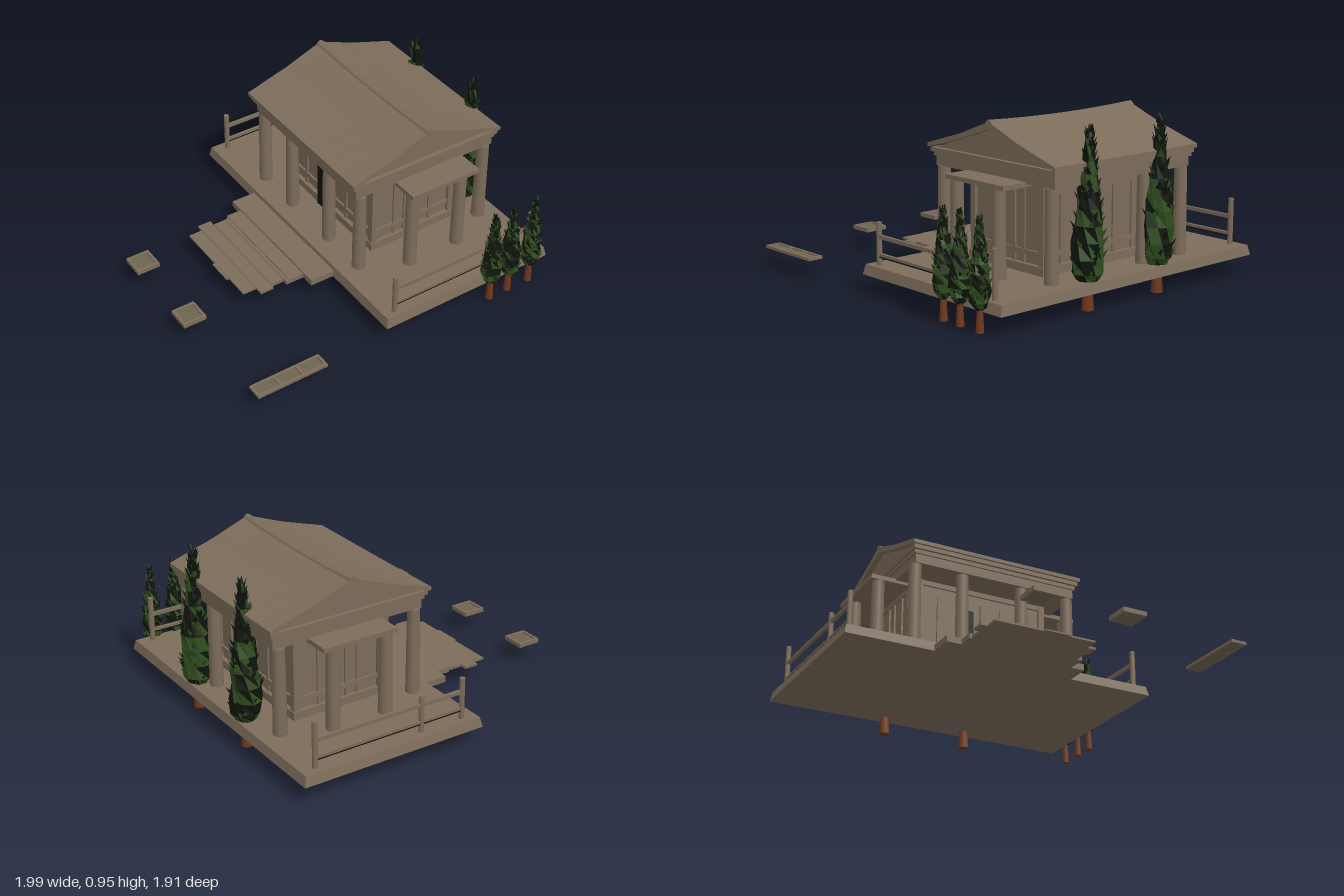
import * as THREE from 'three';

const mat = (name, color, extra = {}) => {
  const m = new THREE.MeshStandardMaterial({ color, ...extra });
  m.name = name;
  return m;
};

export function createModel() {
  const root = new THREE.Group();
  root.name = 'temple';
  const stone = mat('stone', 0x7c6c5a, { flatShading: true });
  const smoothStone = mat('column stone', 0x7c6c5a);
  const soil = mat('soil', 0x6e6450);
  const dark = mat('shadow black', 0x11110f);
  const leafDark = mat('dark leaves', 0x10150d, { side: THREE.DoubleSide, flatShading: true });
  const leafGreen = mat('green leaves', 0x2f4d1f, { side: THREE.DoubleSide, flatShading: true });
  const bark = mat('bark', 0x70381f);

  let seed = 7;
  const rand = () => (seed = (seed * 16807) % 2147483647) / 2147483647;

  const add = (name, geo, material, parent = root) => {
    const m = new THREE.Mesh(geo, material);
    m.name = name;
    parent.add(m);
    return m;
  };
  // box given by its extents; inset draws the top face inwards
  const box = (name, x0, x1, y0, y1, z0, z1, material = stone, inset = 0) => {
    const w = x1 - x0, h = y1 - y0, d = z1 - z0;
    const g = new THREE.BoxGeometry(w, h, d);
    const p = g.attributes.position;
    for (let i = 0; inset && i < p.count; i++) {
      if (p.getY(i) < 0) continue;
      p.setX(i, p.getX(i) * (1 - 2 * inset / w));
      p.setZ(i, p.getZ(i) * (1 - 2 * inset / d));
    }
    g.computeVertexNormals();
    const m = add(name, g, material);
    m.position.set((x0 + x1) / 2, (y0 + y1) / 2, (z0 + z1) / 2);
    return m;
  };

  // ground works: platform, landing and ragged paving
  box('platform', -0.12, 0.96, 0.1, 0.155, -0.955, 0.875, stone, 0.012);
  box('landing', -0.26, -0.115, 0.1, 0.136, -0.45, 0.37);
  [[-0.62, -0.605, 0.108, -0.07, 0.08], [-0.605, -0.525, 0.11, -0.35, 0.23],
    [-0.525, -0.445, 0.114, -0.39, 0.28], [-0.445, -0.37, 0.118, -0.35, 0.26],
    [-0.37, -0.35, 0.122, -0.35, 0.29], [-0.35, -0.255, 0.128, -0.365, 0.29]]
    .forEach(([x0, x1, y, z0, z1]) => box('paving', x0, x1, 0.1, y, z0, z1));

  // shallow planters: rim with square openings and a soil bed
  const planter = (x0, x1, z0, z1, n, top) => {
    const w = x1 - x0, d = z1 - z0, t = 0.015;
    const s = new THREE.Shape();
    s.moveTo(0, 0).lineTo(w, 0).lineTo(w, d).lineTo(0, d).closePath();
    const cell = (w - t * (n + 1)) / n;
    for (let i = 0; i < n; i++) {
      const a = t + i * (cell + t), hole = new THREE.Path();
      hole.moveTo(a, t).lineTo(a, d - t).lineTo(a + cell, d - t).lineTo(a + cell, t).closePath();
      s.holes.push(hole);
    }
    const g = new THREE.ExtrudeGeometry(s, { depth: top - 0.1, bevelEnabled: false });
    g.rotateX(Math.PI / 2);
    add('planterRim', g, stone).position.set(x0, top, z0);
    box('planterBed', x0 + 0.005, x1 - 0.005, 0.1, top - 0.008, z0 + 0.005, z1 - 0.005, soil);
  };
  planter(-1, -0.865, -0.355, -0.22, 1, 0.124);
  planter(-1, -0.865, 0.15, 0.285, 1, 0.124);
  planter(-0.945, -0.53, 0.84, 0.93, 3, 0.116);

  // columns
  const column = (x, z) => {
    const h = 0.485;
    const g = new THREE.CylinderGeometry(0.034, 0.038, h, 18);
    add('column', g, smoothStone).position.set(x, 0.155 + h / 2, z);
  };
  for (const x of [0.01, 0.83]) for (const z of [0.425, 0.135, -0.23, -0.515]) column(x, z);
  for (const x of [0.26, 0.58]) for (const z of [0.55, -0.62]) column(x, z);

  // inner hall: core, plinth, corner pilasters and panel strips
  const X0 = 0.16, X1 = 0.68, Z0 = -0.42, Z1 = 0.34;
  box('hallWall', X0, X1, 0.15, 0.65, Z0, Z1);
  box('hallPlinth', X0 - 0.025, X1 + 0.025, 0.15, 0.2, Z0 - 0.025, Z1 + 0.025);
  box('hallBand', X0 - 0.012, X1 + 0.012, 0.245, 0.272, Z0 - 0.012, Z1 + 0.012);
  box('hallFrieze', X0 - 0.012, X1 + 0.012, 0.61, 0.65, Z0 - 0.012, Z1 + 0.012);
  for (const x of [X0, X1]) {
    for (const z of [Z0, Z1]) box('pilaster', x - 0.018, x + 0.018, 0.15, 0.65, z - 0.018, z + 0.018);
    for (const z of [-0.3, -0.16, -0.035, 0.09, 0.22])
      box('panelStrip', x - 0.01, x + 0.01, 0.2, 0.56, z - 0.01, z + 0.01);
  }
  for (const z of [Z0, Z1]) for (const x of [0.3, 0.37, 0.47, 0.54])
    box('panelStrip', x - 0.01, x + 0.01, 0.2, 0.62, z - 0.01, z + 0.01);
  box('doorGap', X0 - 0.034, X0 - 0.026, 0.156, 0.5, -0.15, -0.1, dark);

  // porch slabs at both ends
  box('porchSlab', 0.225, 0.665, 0.622, 0.647, 0.4, 0.6);
  box('porchSlab', 0.225, 0.665, 0.622, 0.647, -0.675, -0.45);

  // stepped entablature
  box('architrave', -0.03, 0.87, 0.638, 0.69, -0.53, 0.445);
  box('frieze', -0.04, 0.88, 0.69, 0.712, -0.54, 0.455);
  box('cornice', -0.055, 0.89, 0.712, 0.735, -0.55, 0.465);

  // gable body and slightly sagging roof, extruded along z
  const extrudeZ = (name, pts, z0, z1, sag) => {
    const s = new THREE.Shape(pts.map(([x, y]) => new THREE.Vector2(x, y)));
    const g = new THREE.ExtrudeGeometry(s, { depth: z1 - z0, steps: 8, bevelEnabled: false });
    const p = g.attributes.position;
    for (let i = 0; i < p.count; i++) {
      const t = p.getZ(i) / (z1 - z0) * 2 - 1;
      const rise = Math.max(0, (p.getY(i) - 0.735) / 0.19);
      p.setY(i, p.getY(i) - sag * (1 - t * t) * rise);
    }
    g.computeVertexNormals();
    add(name, g, stone).position.z = z0;
  };
  const cx = 0.416;
  extrudeZ('pediment', [[-0.04, 0.73], [0.875, 0.73], [cx, 0.89]], -0.53, 0.44, 0.012);
  const half = [[0.484, 0.735], [0.484, 0.757], [0.22, 0.838], [0.028, 0.912]];
  const under = [[0, 0.885], [0.22, 0.81]];
  extrudeZ('roof', [
    ...half.map(([x, y]) => [cx + x, y]),
    ...half.slice().reverse().map(([x, y]) => [cx - x, y]),
    [cx - under[1][0], under[1][1]], [cx, under[0][1]], [cx + under[1][0], under[1][1]],
  ], -0.56, 0.475, 0.014);
  extrudeZ('ridgeCap', [[cx + 0.03, 0.905], [cx + 0.018, 0.925], [cx, 0.934],
    [cx - 0.018, 0.925], [cx - 0.03, 0.905]], -0.56, 0.475, 0.014);

  // side fences: posts, top rail and thin dark lower rail
  const fence = (z, xs) => {
    xs.forEach((x, i) => {
      const top = i === 0 ? 0.385 : i === 2 ? 0.41 : 0.36;
      add('fencePost', new THREE.CylinderGeometry(0.015, 0.015, top - 0.15, 10), smoothStone)
        .position.set(x, (top + 0.15) / 2, z);
    });
    box('topRail', xs[0], xs[2], 0.298, 0.318, z - 0.009, z + 0.009);
    box('lowerRail', xs[0], xs[2], 0.205, 0.22, z - 0.009, z + 0.009);
    box('lowerRailShade', xs[0], xs[2], 0.198, 0.205, z - 0.009, z + 0.009, dark);
  };
  fence(0.825, [-0.04, 0.57, 0.86]);
  fence(-0.895, [-0.025, 0.23, 0.865]);

  // cypress trees: faceted body split in two greens, with upswept tufts
  const outline = [[0, 0.02], [0.05, 0.5], [0.11, 0.8], [0.2, 0.88], [0.3, 0.85], [0.4, 0.78], [0.5, 0.68],
    [0.6, 0.56], [0.7, 0.45], [0.8, 0.33], [0.9, 0.22], [0.96, 0.12], [1, 0.005]];
  const radiusAt = t => {
    const i = Math.max(1, outline.findIndex(o => o[0] >= t));
    const [a, b] = [outline[i - 1], outline[i]];
    return a[1] + (b[1] - a[1]) * (t - a[0]) / (b[0] - a[0]);
  };
  const tree = (x, z, top, r, trunkR) => {
    const g = new THREE.Group();
    g.name = 'cypress';
    g.position.set(x, 0, z);
    root.add(g);
    const y0 = 0.1, h = top - y0, n = 9;
    add('trunk', new THREE.CylinderGeometry(trunkR * 0.6, trunkR, 0.16, 8), bark, g).position.y = 0.08;
    const ring = outline.map(([t, k]) => Array.from({ length: n }, (_, j) => {
      const a = (j + t * 4) / n * Math.PI * 2, q = r * k * (0.85 + rand() * 0.25);
      return [Math.cos(a) * q, y0 + t * h, Math.sin(a) * q];
    }));
    const tris = [[], []];
    const tri = (k, a, b, c) => tris[k].push(...a, ...b, ...c);
    const shade = t => (rand() < 0.42 + 0.4 * t ? 0 : 1);
    for (let i = 0; i + 1 < ring.length; i++) for (let j = 0; j < n; j++) {
      const k = (j + 1) % n, t = outline[i][0];
      tri(shade(t), ring[i][j], ring[i + 1][j], ring[i + 1][k]);
      tri(shade(t), ring[i][j], ring[i + 1][k], ring[i][k]);
    }
    for (let i = 0; i < 90; i++) {
      const t = 0.06 + 0.9 * rand(), a = rand() * Math.PI * 2, q = radiusAt(t) * r, w = r * 0.2;
      const at = (rad, side, up) => [Math.cos(a) * rad - Math.sin(a) * side, y0 + t * h + up,
        Math.sin(a) * rad + Math.cos(a) * side];
      const tip = at(q * 1.05 + r * 0.12, 0, r * 0.4);
      const [b0, b1, b2] = [at(q * 0.8, -w, 0), at(q * 0.8, w, 0), at(q * 0.85, 0, -w)];
      const s = shade(t);
      tri(s, b0, tip, b1);
      tri(s, b0, b2, tip);
      tri(s, b2, b1, tip);
    }
    tris.forEach((arr, k) => {
      const geo = new THREE.BufferGeometry();
      geo.setAttribute('position', new THREE.Float32BufferAttribute(arr, 3));
      geo.computeVertexNormals();
      add(k ? 'greenFoliage' : 'darkFoliage', geo, k ? leafGreen : leafDark, g);
    });
  };
  tree(0.89, 0.23, 0.95, 0.098, 0.032);
  tree(0.89, -0.28, 0.95, 0.098, 0.032);
  for (const x of [0.555, 0.68, 0.825]) tree(x, 0.89, 0.585, 0.064, 0.021);

  return root;
}
